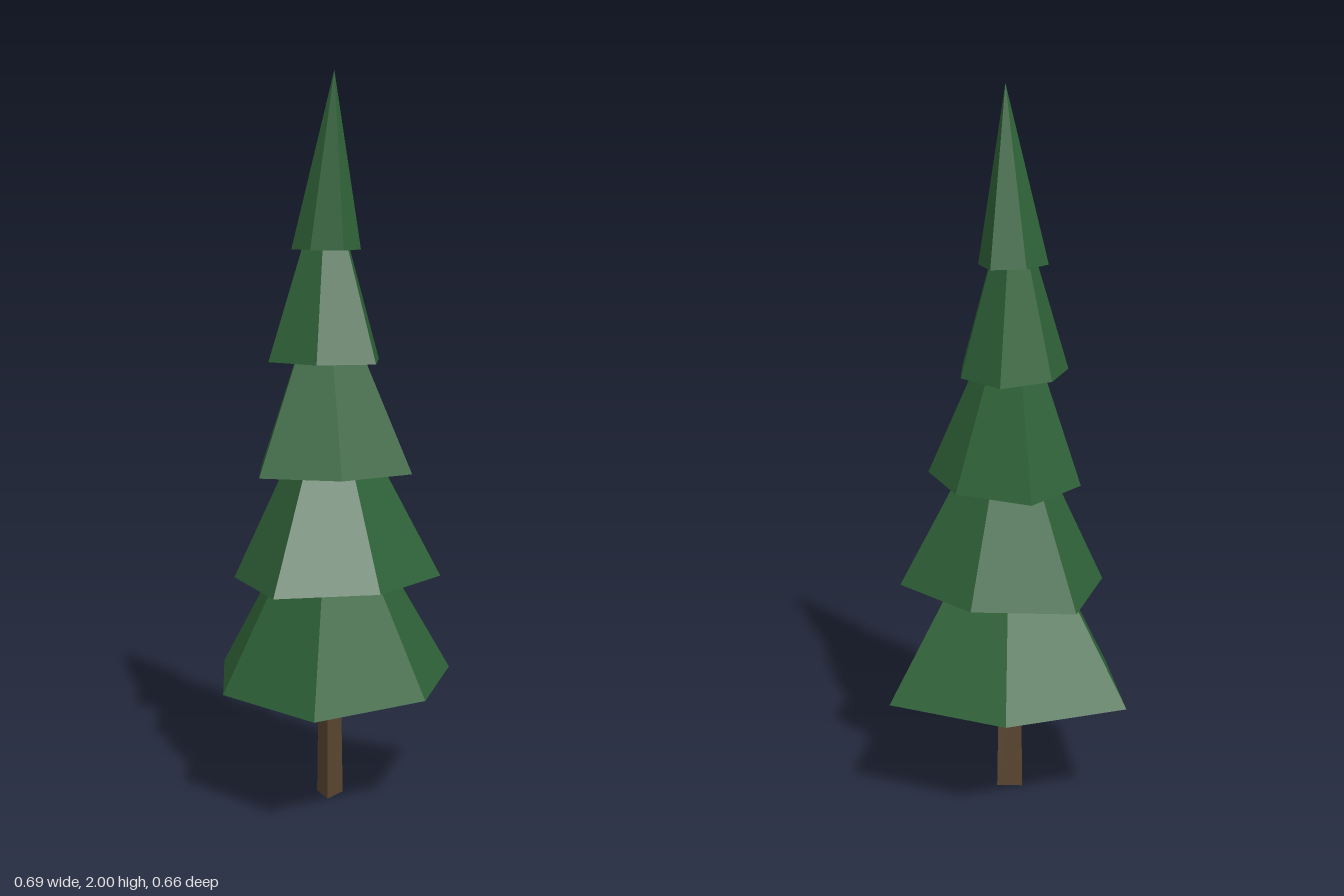
import * as THREE from 'three';

const needles = new THREE.MeshStandardMaterial({ name: 'needle green', color: 0x2f6339, flatShading: true });
const bark = new THREE.MeshStandardMaterial({ name: 'bark brown', color: 0x5c4632, flatShading: true });

// Each tier: base height, apex [x, y, z] and six uneven rim points [x, z]
const tiers = [
  { y: 0.325, apex: [-0.03, 0.945, 0],
    rim: [[-0.22, -0.328], [0.128, -0.276], [0.346, 0], [0.128, 0.276], [-0.22, 0.328], [-0.347, 0]] },
  { y: 0.625, apex: [-0.027, 1.205, 0],
    rim: [[-0.07, -0.305], [0.174, -0.16], [0.254, 0.117], [0.003, 0.257], [-0.275, 0.188], [-0.273, -0.1]] },
  { y: 0.925, apex: [-0.04, 1.485, 0],
    rim: [[0.029, -0.233], [0.163, -0.052], [0.139, 0.168], [-0.081, 0.196], [-0.263, 0.063], [-0.174, -0.142]] },
  { y: 1.225, apex: [-0.036, 1.755, 0],
    rim: [[0.072, -0.136], [0.111, 0.017], [0.036, 0.156], [-0.118, 0.114], [-0.2, -0.022], [-0.087, -0.132]] },
  { y: 1.525, apex: [-0.015, 2, 0],
    rim: [[-0.033, -0.086], [0.057, -0.052], [0.044, 0.043], [-0.033, 0.1], [-0.105, 0.043], [-0.12, -0.05]] },
];

// Closed faceted cone from an uneven rim to its apex
function coneGeometry({ y, apex, rim }) {
  const points = [];
  rim.forEach(([ax, az], i) => {
    const [bx, bz] = rim[(i + 1) % rim.length];
    points.push(ax, y, az, ...apex, bx, y, bz); // sloping side
    points.push(ax, y, az, bx, y, bz, apex[0], y, apex[2]); // underside
  });
  const geometry = new THREE.BufferGeometry();
  geometry.setAttribute('position', new THREE.Float32BufferAttribute(points, 3));
  geometry.computeVertexNormals();
  return geometry;
}

export function createModel() {
  const tree = new THREE.Group();
  tree.name = 'pineTree';

  // Three-sided tapering trunk with one edge towards +x
  const trunk = new THREE.Mesh(
    new THREE.CylinderGeometry(0.035, 0.042, 0.4, 3, 1, false, Math.PI / 2), bark);
  trunk.name = 'trunk';
  trunk.position.set(-0.032, 0.2, 0);
  tree.add(trunk);

  // Stacked foliage, widest at the bottom
  tiers.forEach((tier, i) => {
    const mesh = new THREE.Mesh(coneGeometry(tier), needles);
    mesh.name = `foliageTier${i + 1}`;
    tree.add(mesh);
  });
  return tree;
}
